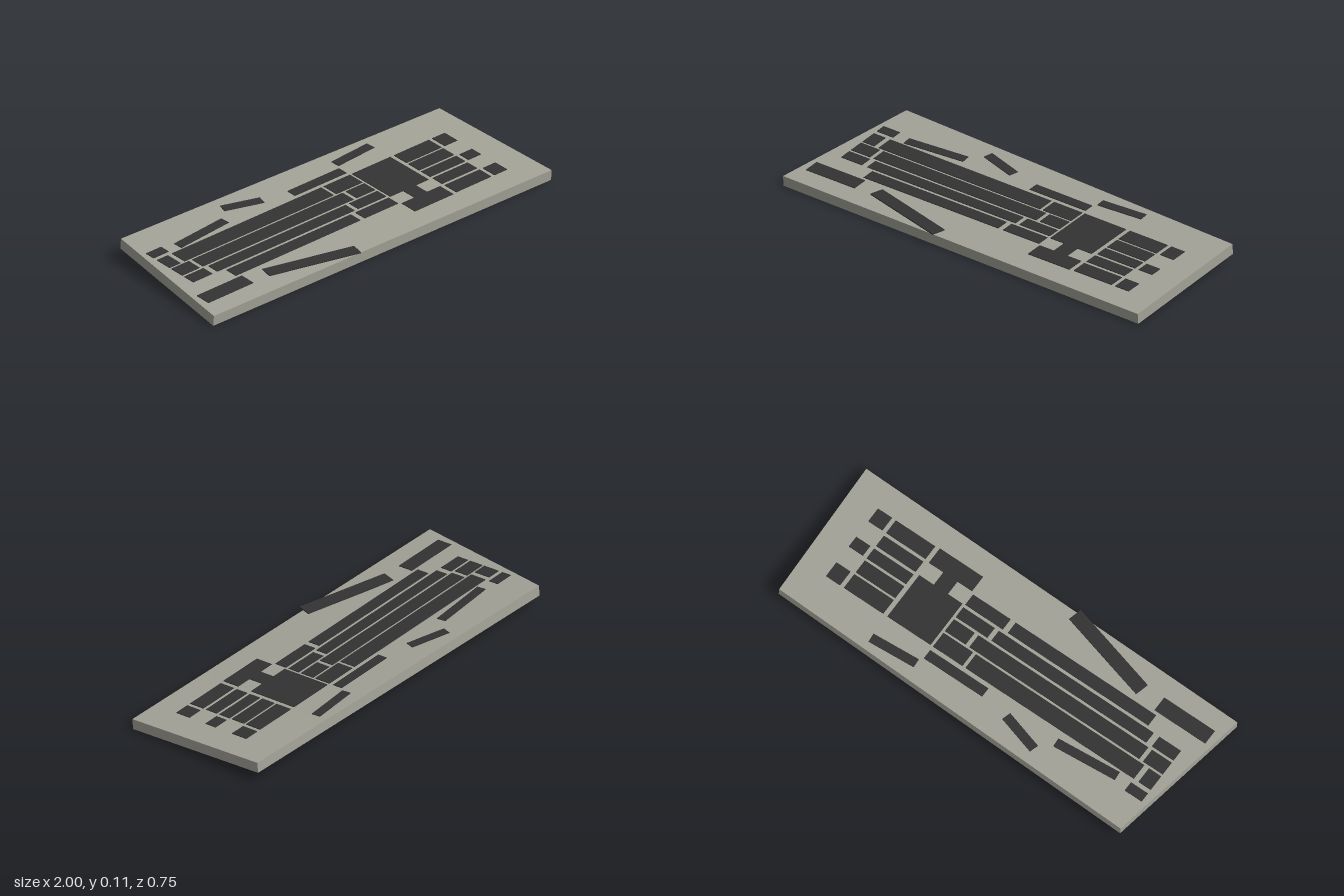
import * as THREE from 'three';

// Height of the gently twisted, back-raised top surface
const surface = (x, z) => 0.0792 - 0.001 * x - 0.079 * z + 0.0101 * x * z;
const THICKNESS = 0.05;

const lerp = THREE.MathUtils.lerp;

// Move every vertex of a geometry by a rule
function reshape(geometry, rule) {
  const pos = geometry.attributes.position;
  const p = new THREE.Vector3();
  for (let i = 0; i < pos.count; i++) {
    rule(p.fromBufferAttribute(pos, i));
    pos.setXYZ(i, p.x, p.y, p.z);
  }
  geometry.computeVertexNormals();
  return geometry;
}

export function createModel() {
  const model = new THREE.Group();
  model.name = 'keyboard';

  const caseGrey = new THREE.MeshStandardMaterial({ color: 0xa3a297 });
  caseGrey.name = 'warm grey case';
  const keyDark = new THREE.MeshStandardMaterial({ color: 0x333333 });
  keyDark.name = 'charcoal keys';

  // Skewed four-cornered case, following the surface above and below
  const slab = reshape(new THREE.BoxGeometry(1, 1, 1, 16, 1, 8), (p) => {
    const u = p.x + 0.5, v = p.z + 0.5;
    const x = lerp(lerp(-0.88, 0.98, u), lerp(-1, 1, u), v);
    const z = lerp(lerp(-0.375, -0.317, u), lerp(0.34, 0.373, u), v);
    const low = p.y < 0;
    p.set(x, surface(x, z) - (low ? THICKNESS : 0), z - (low ? 0.004 : 0));
  });
  const body = new THREE.Mesh(slab, caseGrey);
  body.name = 'case';
  model.add(body);

  // Thin key plate laid on a height rule: centre, size, turn about the vertical
  function addKey(name, cx, cz, w, d, turn = 0, top = (x, z) => surface(x, z) + 0.003) {
    const geometry = new THREE.BoxGeometry(w, 0.005, d);
    geometry.rotateY(turn);
    geometry.translate(cx, 0, cz);
    reshape(geometry, (p) => { p.y += top(p.x, p.z) - 0.0025; });
    const key = new THREE.Mesh(geometry, keyDark);
    key.name = name;
    model.add(key);
  }

  // Rows of keys: [back z, front z, [left x, right x], ...]
  const rows = [
    [-0.216, -0.168, [-0.88, -0.79], [-0.03, 0.28]],
    [-0.147, -0.067, [-0.88, -0.815], [-0.79, 0.107], [0.123, 0.28], [0.545, 0.755], [0.775, 0.85]],
    [-0.056, 0.013, [-0.88, -0.775], [-0.755, 0.15], [0.17, 0.28], [0.545, 0.755]],
    [0.026, 0.083, [-0.88, -0.765], [-0.735, 0.09], [0.112, 0.28], [0.545, 0.755], [0.775, 0.85]],
    [0.098, 0.158, [-0.695, 0.053], [0.08, 0.28], [0.545, 0.755]],
    [0.174, 0.248, [-0.945, -0.675], [0.545, 0.755], [0.775, 0.85]],
  ];
  rows.forEach(([z0, z1, ...spans], r) => spans.forEach(([x0, x1], i) =>
    addKey(`keyRow${r + 1}Part${i + 1}`, (x0 + x1) / 2, (z0 + z1) / 2, x1 - x0, z1 - z0)));

  // Joined navigation and arrow block
  addKey('navigationBlock', 0.408, -0.026, 0.23, 0.242);
  addKey('upArrow', 0.408, 0.129, 0.075, 0.09);
  addKey('arrowRow', 0.408, 0.21, 0.23, 0.084);

  // Crooked function key groups
  addKey('functionKeysLeft', -0.57, -0.192, 0.31, 0.044, 0.085);
  addKey('functionKeysMiddle', -0.262, -0.258, 0.195, 0.045, -0.29);
  addKey('functionKeysRight', 0.408, -0.263, 0.23, 0.044, 0.07);

  // Loose space bar, lifted clear of the front edge
  addKey('spaceBar', -0.355, 0.28, 0.455, 0.066, -0.262, (x, z) => 0.0688 - 0.012 * z);

  return model;
}
